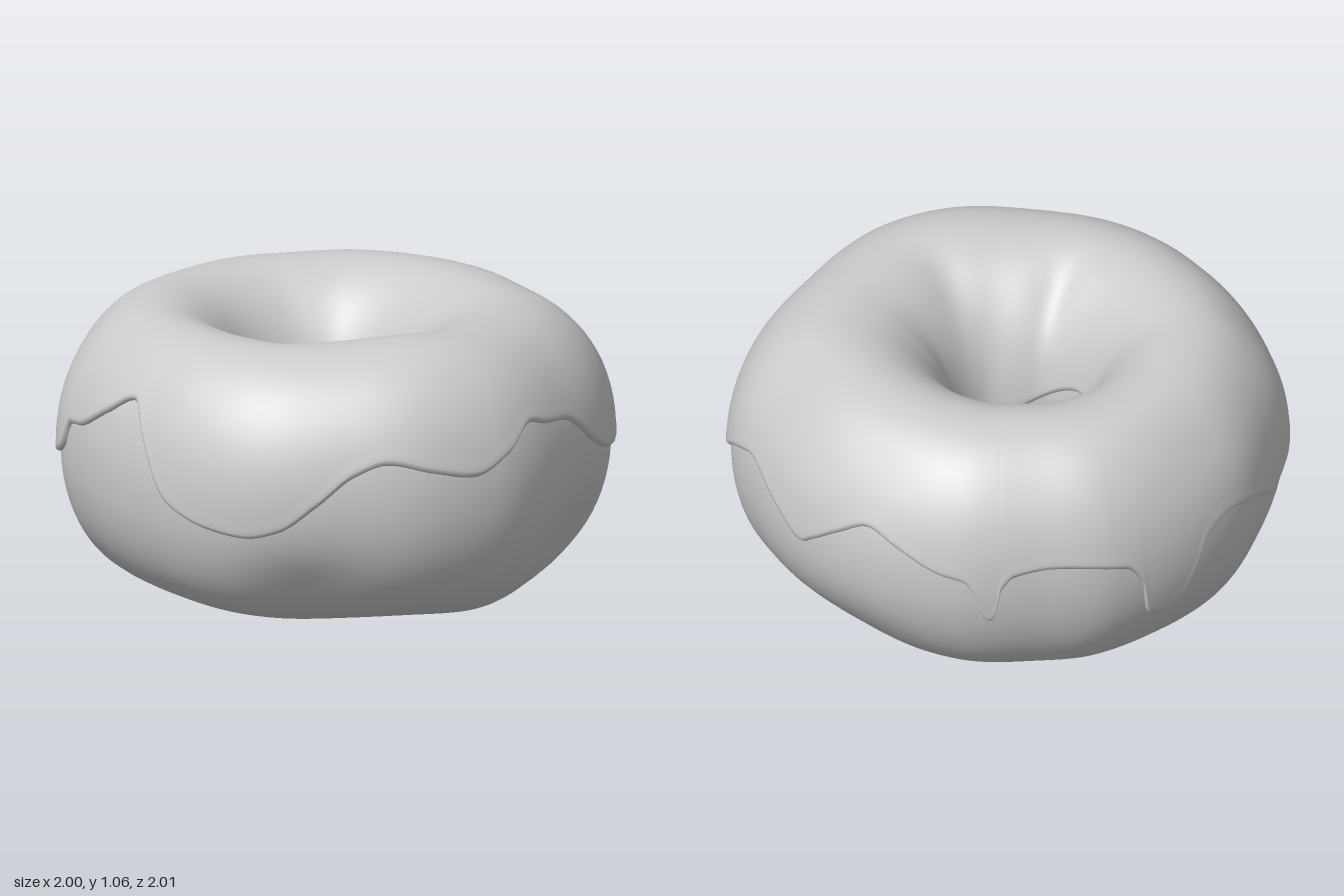
import * as THREE from 'three';

const TAU = Math.PI * 2, RAD = Math.PI / 180;

// Smooth periodic curve through [degrees, value] points, without overshoot.
function loopCurve(pts) {
  const n = pts.length;
  const at = (i) => {
    const k = ((i % n) + n) % n;
    return [pts[k][0] + 360 * Math.floor(i / n), pts[k][1]];
  };
  const slope = (i) => (at(i + 1)[1] - at(i)[1]) / (at(i + 1)[0] - at(i)[0]);
  const tangent = (i) => {
    const p = slope(i - 1), q = slope(i);
    return p * q <= 0 ? 0 : (2 * p * q) / (p + q);
  };
  return (deg) => {
    let d = ((deg % 360) + 360) % 360, i = -1;
    while (i + 1 < n && at(i + 1)[0] <= d) i++;
    const [x0, y0] = at(i), [x1, y1] = at(i + 1), w = x1 - x0, u = (d - x0) / w;
    const u2 = u * u, u3 = u2 * u;
    return y0 * (2 * u3 - 3 * u2 + 1) + y1 * (3 * u2 - 2 * u3)
      + w * (tangent(i) * (u3 - 2 * u2 + u) + tangent(i + 1) * (u3 - u2));
  };
}

// Angles run from +x towards the front (+z).
const outerRadius = loopCurve([[0, 0.995], [20, 1], [37, 1.025], [53, 1.007], [72, 0.98], [100, 1.027],
  [116, 1.025], [135, 1.01], [155, 1.02], [171, 1.008], [186, 0.99], [207, 1], [217, 1.012], [236, 0.99],
  [253, 1], [271, 1], [287, 1], [304, 0.975], [322, 0.997], [336, 0.998]]);
const holeRadius = loopCurve([[0, 0.203], [26, 0.187], [45, 0.195], [67, 0.222], [106, 0.235], [134, 0.22],
  [170, 0.255], [190, 0.265], [225, 0.28], [270, 0.27], [315, 0.25], [347, 0.215]]);
const topHeight = loopCurve([[0, 1.025], [50, 1.025], [85, 1.033], [110, 1.046], [145, 1.025], [180, 1.02],
  [230, 1.025], [270, 1.015], [320, 1.02]]);
const bottomHeight = loopCurve([[5, 0.06], [40, 0.02], [85, 0.0], [120, 0.03], [150, 0.02], [200, 0.04],
  [250, 0.02], [300, 0.02], [335, 0.025]]);
// Wavy, dripping lower edge of the icing
const icingEdge = loopCurve([[0, 0.51], [8, 0.575], [21, 0.655], [31, 0.6], [38, 0.53], [46, 0.5], [54, 0.52],
  [62, 0.58], [74, 0.71], [83, 0.735], [89, 0.76], [97, 0.68], [106, 0.62], [115, 0.65], [125, 0.69],
  [132, 0.65], [140, 0.54], [148, 0.44], [155, 0.41], [164, 0.43], [174, 0.5], [181, 0.68], [188, 0.82],
  [196, 0.75], [206, 0.66], [211, 0.645], [214, 0.55], [218, 0.51], [225, 0.48], [234, 0.465], [246, 0.56],
  [257, 0.605], [264, 0.56], [268, 0.42], [271, 0.33], [275, 0.3], [279, 0.33], [281, 0.48], [285, 0.56],
  [300, 0.595], [309, 0.57], [312, 0.51], [313, 0.41], [314.5, 0.38], [316, 0.41], [317.5, 0.5], [320, 0.55],
  [325, 0.57], [335, 0.645], [342, 0.69], [349, 0.63], [356, 0.55]]);
const innerEdge = loopCurve([[0, 0.5], [60, 0.47], [130, 0.5], [200, 0.64], [235, 0.59], [290, 0.5]]);

// Soft dents and bumps: angle, section angle, spread of each, height
const LUMPS = [
  [143, -0.75, 14, 0.4, -0.035], [65, -0.6, 14, 0.4, -0.035], [35, -0.7, 14, 0.4, 0.01],
  [98, 2.1, 10, 0.35, -0.015], [345, -0.8, 16, 0.4, -0.02], [305, 0.9, 16, 0.4, -0.008],
  [20, 0.8, 14, 0.4, -0.018], [345, 0.8, 16, 0.4, -0.015], [262, 0.8, 16, 0.4, -0.015],
  [215, 0.9, 16, 0.4, -0.012], [270, -0.8, 14, 0.4, -0.015],
  [300, -2.2, 14, 0.4, -0.03], [20, -2.2, 12, 0.4, -0.03], [155, 2.2, 10, 0.4, -0.02],
];
const MID = 0.53, N_OUT = 2.07, N_IN = 2;

const power = (v, p) => Math.sign(v) * Math.abs(v) ** p;

// Point on the ring; t = 0 outside, PI/2 on top, PI in the hole.
function ringPoint(deg, t, lift) {
  const outer = outerRadius(deg) - 0.015, hole = holeRadius(deg) + 0.012;
  const c = Math.cos(t), s = Math.sin(t), e = 2 / (c > 0 ? N_OUT : N_IN);
  const height = s > 0 ? topHeight(deg) - MID : MID - bottomHeight(deg);
  for (const [a, ta, wa, wt, h] of LUMPS) {
    const da = (((deg - a + 540) % 360 + 360) % 360 - 180) / wa;
    const dt = Math.atan2(Math.sin(t - ta), Math.cos(t - ta)) / wt;
    lift += h * Math.exp(-da * da - dt * dt);
  }
  const r = (outer + hole) / 2 + power(c, e) * (outer - hole) / 2 + c * lift;
  return [r * Math.cos(deg * RAD), MID + power(s, e) * height + s * lift, r * Math.sin(deg * RAD)];
}

// Section angle at which the surface reaches height y
function angleAt(deg, y, n) {
  const h = y > MID ? topHeight(deg) - MID : MID - bottomHeight(deg);
  return Math.asin(power((y - MID) / h, n / 2));
}

// Grid of points, closed around the ring and optionally around the section
function sweep(name, around, rows, closed, pointAt) {
  const pos = [], index = [];
  for (let i = 0; i < around; i++)
    for (let j = 0; j < rows; j++) pos.push(...pointAt((i / around) * 360, j));
  for (let i = 0; i < around; i++) {
    const a = i * rows, b = ((i + 1) % around) * rows;
    for (let j = 0; j < (closed ? rows : rows - 1); j++) {
      const k = (j + 1) % rows;
      index.push(a + j, a + k, b + j, b + j, a + k, b + k);
    }
  }
  const geo = new THREE.BufferGeometry();
  geo.setAttribute('position', new THREE.Float32BufferAttribute(pos, 3));
  geo.setIndex(index);
  geo.computeVertexNormals();
  const mesh = new THREE.Mesh(geo, new THREE.MeshStandardMaterial({ color: 0xcccccc }));
  mesh.name = name;
  return mesh;
}

export function createModel() {
  const group = new THREE.Group();
  group.name = 'donut';

  // Dough ring
  group.add(sweep('dough', 240, 72, true, (deg, j) => ringPoint(deg, (j / 72) * TAU, 0)));

  // Icing shell with a rounded lip that tucks into the dough at both edges
  const lip = [[0, -0.02], [0, 0.006], [0.015, 0.016], [0.04, 0.019], [0.08, 0.017]];
  const rows = 48, last = lip.length - 1;
  group.add(sweep('icing', 720, rows, false, (deg, j) => {
    const t0 = angleAt(deg, icingEdge(deg), N_OUT);
    const t1 = Math.PI - angleAt(deg, innerEdge(deg), N_IN);
    const k = Math.min(j, rows - 1 - j);
    if (k <= last) {
      const [dt, lift] = lip[k];
      return ringPoint(deg, j === k ? t0 + dt : t1 - dt, lift);
    }
    const u = (j - last) / (rows - 1 - 2 * last), d = lip[last][0];
    return ringPoint(deg, t0 + d + (t1 - t0 - 2 * d) * u, 0.015 + 0.002 * (2 * u - 1) ** 2);
  }));
  return group;
}
